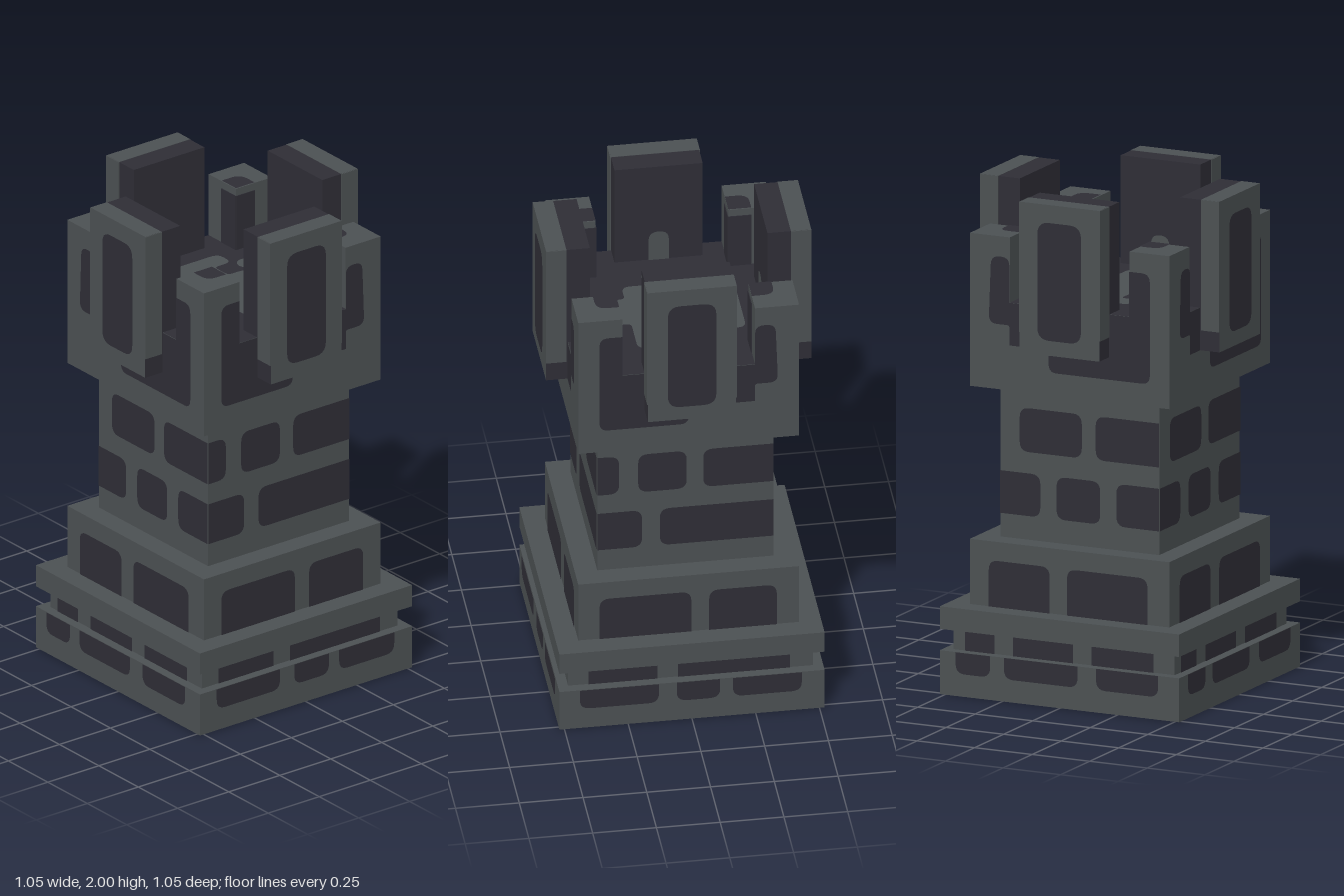
import * as THREE from 'three';

const stone = new THREE.MeshStandardMaterial({ color: 0x4b5052 });
stone.name = 'grey stone';
const dark = new THREE.MeshStandardMaterial({ color: 0x2e2d35 });
dark.name = 'dark stone';

const LIFT = 0.003; // how far painted patches sit above a face

function box(parent, name, mat, x0, x1, y0, y1, z0, z1) {
  const m = new THREE.Mesh(new THREE.BoxGeometry(x1 - x0, y1 - y0, z1 - z0), mat);
  m.position.set((x0 + x1) / 2, (y0 + y1) / 2, (z0 + z1) / 2);
  m.name = name;
  parent.add(m);
  return m;
}

// Flat polygon with rounded corners; each point is [u, v, optional radius]
function patch(parent, name, mat, pts, z, r = 0.035) {
  const v = pts.map((p) => new THREE.Vector2(p[0], p[1]));
  const n = v.length;
  const shape = new THREE.Shape();
  const toward = (a, b, rad) => {
    const len = a.distanceTo(b);
    return a.clone().lerp(b, Math.min(rad, len / 2) / len);
  };
  for (let i = 0; i < n; i++) {
    const rad = pts[i][2] ?? r;
    const a = toward(v[i], v[(i + n - 1) % n], rad);
    const b = toward(v[i], v[(i + 1) % n], rad);
    if (i === 0) shape.moveTo(a.x, a.y);
    else shape.lineTo(a.x, a.y);
    if (rad > 0) shape.quadraticCurveTo(v[i].x, v[i].y, b.x, b.y);
  }
  shape.closePath();
  const m = new THREE.Mesh(new THREE.ShapeGeometry(shape, 5), mat);
  m.position.z = z + LIFT;
  m.name = name;
  parent.add(m);
  return m;
}

// Rectangle corners with separate bottom and top rounding
const rect = (u0, u1, v0, v1, rb = 0.035, rt = rb, edge = 9) => {
  const at = (u, v, r) => [u, v, Math.abs(u) >= edge ? 0 : r];
  return [at(u0, v0, rb), at(u1, v0, rb), at(u1, v1, rt), at(u0, v1, rt)];
};

// Two brick layouts, [from, to] along the wall
const layouts = {
  a: {
    base: [[-0.45, -0.3], [-0.24, 0.08], [0.16, 0.43]],
    neck: [[-0.43, -0.3], [-0.22, 0.04], [0.12, 0.39]],
    plinth: [[-0.35, -0.085], [-0.01, 0.34]],
    lower: [[-0.345, -0.17], [-0.1, 0.09], [0.16, 0.345]],
    upper: [[-0.26, 0.01], [0.07, 0.345]],
    head: [[-0.35, 1.48], [-0.26, 1.48, 0.01], [-0.26, 1.4, 0], [-0.09, 1.4, 0], [-0.09, 1.31],
      [0.35, 1.31], [0.35, 1.75], [0.26, 1.75, 0], [0.26, 1.57, 0], [-0.26, 1.57, 0], [-0.26, 1.75], [-0.34, 1.75]],
  },
  b: {
    base: [[-0.44, -0.13], [-0.06, 0.11], [0.16, 0.43]],
    neck: [[-0.4, -0.13], [-0.05, 0.39]],
    plinth: [[-0.35, 0.01], [0.08, 0.345]],
    lower: [[-0.345, -0.17], [-0.1, 0.345]],
    upper: [[-0.345, -0.26], [-0.185, 0.005], [0.07, 0.345]],
    head: [[-0.35, 1.32], [0, 1.32], [0, 1.4, 0], [0.26, 1.4, 0], [0.26, 1.48, 0.01], [0.35, 1.48],
      [0.34, 1.75], [0.26, 1.75], [0.26, 1.57, 0], [-0.26, 1.57, 0], [-0.26, 1.75, 0], [-0.35, 1.75]],
  },
};

// Dark bricks painted on one side of the tower
function wallBricks(layout) {
  const g = new THREE.Group();
  g.name = 'wallBricks';
  const row = (name, spans, v0, v1, z, rb, rt, edge) =>
    spans.forEach(([a, b]) => patch(g, name, dark, rect(a, b, v0, v1, rb, rt, edge), z));
  row('baseBrick', layout.base, 0.09, 0.175, 0.52, 0.04, 0);
  row('neckBrick', layout.neck, 0.175, 0.26, 0.48, 0, 0);
  row('plinthBrick', layout.plinth, 0.35, 0.535, 0.433, 0, 0.04);
  row('lowerBrick', layout.lower, 0.705, 0.875, 0.345, 0.04, 0.04, 0.34);
  row('upperBrick', layout.upper, 0.96, 1.135, 0.345, 0.04, 0.04, 0.34);
  patch(g, 'headStain', dark, layout.head, 0.433);
  return g;
}

// Tall block hung on the middle of one side
function merlon() {
  const g = new THREE.Group();
  g.name = 'merlon';
  const w = 0.173;
  box(g, 'merlonBlock', [dark, dark, dark, dark, stone, dark], -w, w, 1.4, 2, 0.348, 0.52);
  patch(g, 'merlonPanel', dark, rect(-0.095, 0.095, 1.46, 1.93, 0.05), 0.52);
  // pale outer edges on the flanks and the top
  for (const s of [-1, 1]) {
    const x = s * w;
    box(g, 'merlonFlankEdge', stone, x - LIFT, x + LIFT, 1.48, 2, 0.44, 0.52);
  }
  box(g, 'merlonTopEdge', stone, -w, w, 2 - LIFT, 2 + 0.001, 0.44, 0.52);
  // pale fleck on the inner face
  const fleck = patch(g, 'merlonFleck', stone, rect(-0.04, 0.04, 1.57, 1.7, 0, 0.04), 0);
  fleck.rotation.y = Math.PI;
  fleck.position.z = 0.348 - LIFT;
  return g;
}

// Lower corner block, dark toward the middle of the tower
function cornerPost() {
  const g = new THREE.Group();
  g.name = 'cornerPost';
  const i = 0.26, m = 0.35, o = 0.433;
  box(g, 'postBlock', stone, i, o, 1.57, 1.83, i, o);
  box(g, 'postInnerStain', dark, i - LIFT, i + LIFT, 1.57, 1.8, i, m);
  box(g, 'postInnerStain', dark, i, m, 1.57, 1.8, i - LIFT, i + LIFT);
  const top = patch(g, 'postTopStain', dark, [[i, -m, 0], [m, -m, 0.05], [m, -i, 0], [i, -i, 0]], 0);
  top.rotation.x = -Math.PI / 2;
  top.position.set(0, 1.83 + LIFT, 0);
  return g;
}

export function createModel() {
  const model = new THREE.Group();
  model.name = 'tower';

  // Stacked square body
  const tiers = [
    ['base', 0.52, 0, 0.175], ['neck', 0.48, 0.175, 0.26], ['ledge', 0.52, 0.26, 0.35],
    ['plinth', 0.433, 0.35, 0.61], ['shaft', 0.345, 0.61, 1.22], ['head', 0.433, 1.22, 1.57],
  ];
  for (const [name, h, y0, y1] of tiers) {
    const mat = name === 'head' ? [stone, stone, dark, stone, stone, stone] : stone;
    box(model, name, mat, -h, h, y0, y1, -h, h);
  }

  // Four sides: front, right-hand, back, left-hand
  ['a', 'b', 'b', 'a'].forEach((key, k) => {
    const side = new THREE.Group();
    side.name = 'side';
    side.add(wallBricks(layouts[key]), merlon(), cornerPost());
    side.rotation.y = (k * Math.PI) / 2;
    model.add(side);
  });

  // Pale worn patches on the roof floor
  const floor = new THREE.Group();
  floor.name = 'roofFloor';
  floor.rotation.x = -Math.PI / 2;
  floor.position.y = 1.57;
  patch(floor, 'floorPatch', stone, [
    [-0.265, 0.175], [-0.177, 0.175], [-0.177, 0.09, 0.02], [-0.09, 0.09, 0.02], [-0.09, 0.175],
    [0, 0.175, 0.02], [0, 0.262], [0.173, 0.262], [0.173, 0.09, 0.02], [0.26, 0.09], [0.26, -0.085],
    [0.173, -0.085, 0.02], [0.173, -0.17], [0.087, -0.17, 0.01], [0.087, -0.258], [0, -0.258],
    [0, -0.17, 0.01], [-0.09, -0.17], [-0.09, -0.095, 0.02], [-0.177, -0.095, 0.02],
    [-0.177, -0.17], [-0.265, -0.17],
  ].reverse(), 0);
  for (const v of [0.22, -0.215]) {
    const spot = new THREE.Mesh(new THREE.CircleGeometry(0.045, 16), stone);
    spot.position.set(-0.13, v, LIFT);
    spot.name = 'floorSpot';
    floor.add(spot);
  }
  model.add(floor);

  // Dark underside
  const under = patch(model, 'underside', dark, rect(-0.43, 0.43, -0.43, 0.43, 0.06), 0);
  under.rotation.x = Math.PI / 2;
  under.position.set(0, -0.001, 0);

  return model;
}
